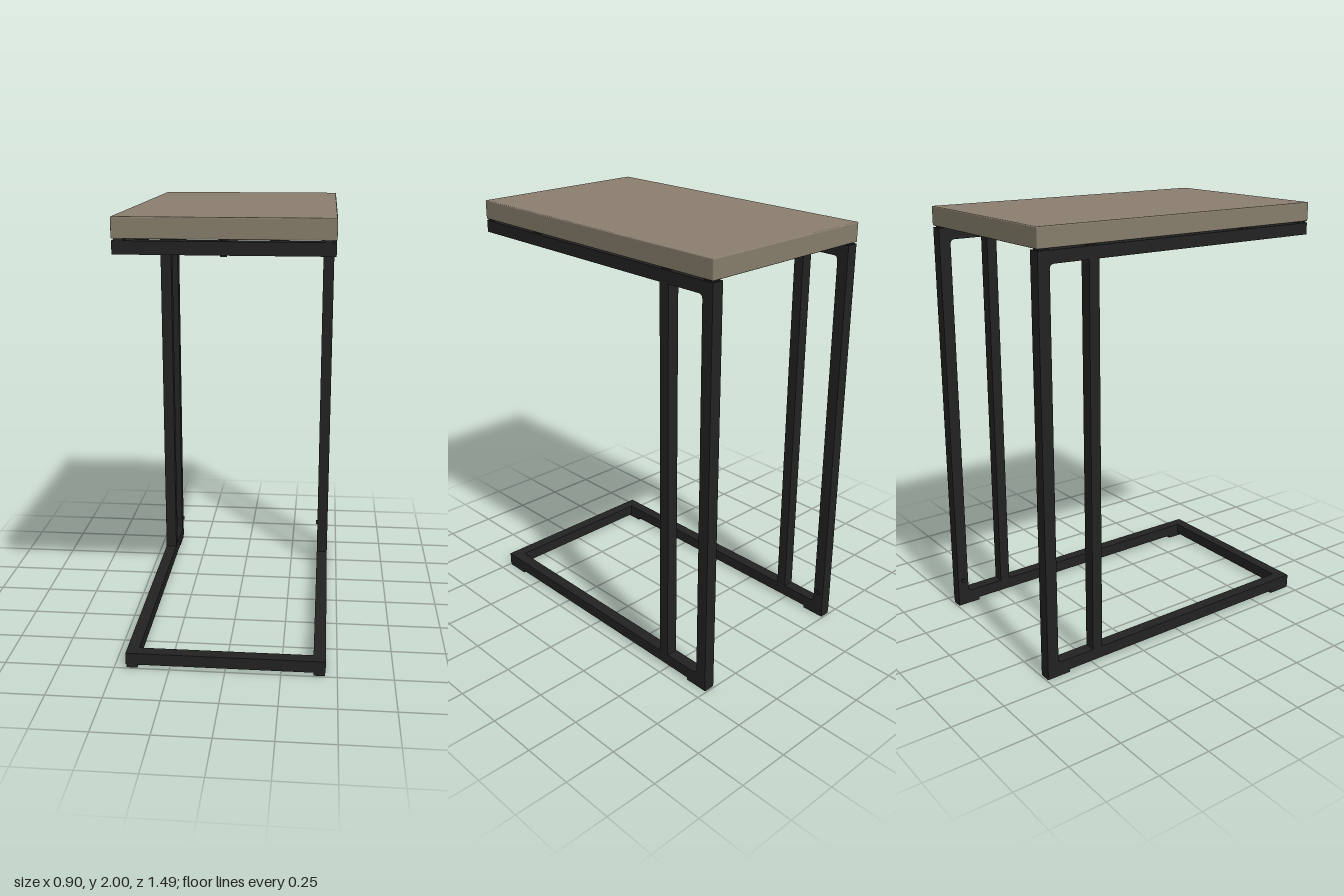
import * as THREE from 'three';
import { RoundedBoxGeometry } from 'three/addons/geometries/RoundedBoxGeometry.js';

export function createModel() {
  const model = new THREE.Group();
  model.name = 'sideTable';

  const material = (name, color) => {
    const m = new THREE.MeshStandardMaterial({ color });
    m.name = name;
    return m;
  };
  const wood = material('greyWood', 0x8b7e6f);
  const edge = material('woodEdge', 0x867d6b);
  const metal = material('blackMetal', 0x222222);
  const underside = material('blackUnderside', 0x1a1a1a);

  const add = (name, geometry, mat, x, y, z) => {
    const mesh = new THREE.Mesh(geometry, mat);
    mesh.name = name;
    mesh.position.set(x, y, z);
    model.add(mesh);
    return mesh;
  };
  const box = (name, w, h, d, x, y, z) =>
    add(name, new THREE.BoxGeometry(w, h, d), metal, x, y, z);

  const outerX = 0.448, tube = 0.055, endZ = 0.743;
  const low = 0.015, high = 1.905;

  // Table top: wooden slab with a dark underside
  add('tableTop', new RoundedBoxGeometry(0.9, 0.088, 1.49, 2, 0.005),
    [edge, edge, wood, underside, edge, edge], 0, 1.956, 0);

  // Side frame profile (z, y): C shape with a slot between the two posts
  const profile = new THREE.Shape();
  [[endZ, low], [endZ, low + tube], [-0.45, low + tube], [-0.45, high - tube],
    [endZ, high - tube], [endZ, high], [-endZ, high], [-endZ, low]]
    .forEach(([z, y], i) => (i ? profile.lineTo(z, y) : profile.moveTo(z, y)));
  profile.closePath();

  // The slot has small fillets at the rear post only
  const z0 = -endZ + tube, z1 = -0.5, y0 = low + tube, y1 = high - tube, r = 0.022;
  const slot = new THREE.Path();
  slot.moveTo(z1, y0);
  slot.lineTo(z1, y1);
  slot.lineTo(z0 + r, y1);
  slot.quadraticCurveTo(z0, y1, z0, y1 - r);
  slot.lineTo(z0, y0 + r);
  slot.quadraticCurveTo(z0, y0, z0 + r, y0);
  slot.closePath();
  profile.holes.push(slot);

  const sideGeometry = new THREE.ExtrudeGeometry(profile,
    { depth: tube, bevelEnabled: false, curveSegments: 6 });
  sideGeometry.rotateY(-Math.PI / 2);
  sideGeometry.translate(tube / 2, 0, 0);

  for (const [side, s] of [['left', 1], ['right', -1]]) {
    const x = s * (outerX - tube / 2);
    add(side + 'Frame', sideGeometry, metal, x, 0, 0);

    // Feet under the base corners
    for (const z of [0.685, -0.685]) box(side + 'Foot', 0.05, low, 0.115, x, low / 2, z);

    // Spacers between frame and top
    for (const z of [0.72, 0.36, -0.475, -0.71]) {
      box(side + 'Spacer', 0.04, 0.01, 0.045, x, 1.909, z);
    }

    // Small screw head on the inside of the rear post
    const screw = add(side + 'ScrewHead', new THREE.CylinderGeometry(0.011, 0.011, 0.01, 12),
      metal, s * (outerX - tube - 0.004), 0.135, -endZ + tube / 2);
    screw.rotation.z = Math.PI / 2;
  }

  // Front crossbars at the base and under the top
  const span = 2 * (outerX - tube);
  for (const [name, y] of [['baseCrossbar', low + tube / 2], ['topCrossbar', high - tube / 2]]) {
    box(name, span, tube, tube, 0, y, endZ - tube / 2);
  }

  // Bolt holding the top to the front crossbar
  add('frontBolt', new THREE.CylinderGeometry(0.014, 0.014, 0.071, 12), metal, 0, 1.8785, 0.715);

  return model;
}
